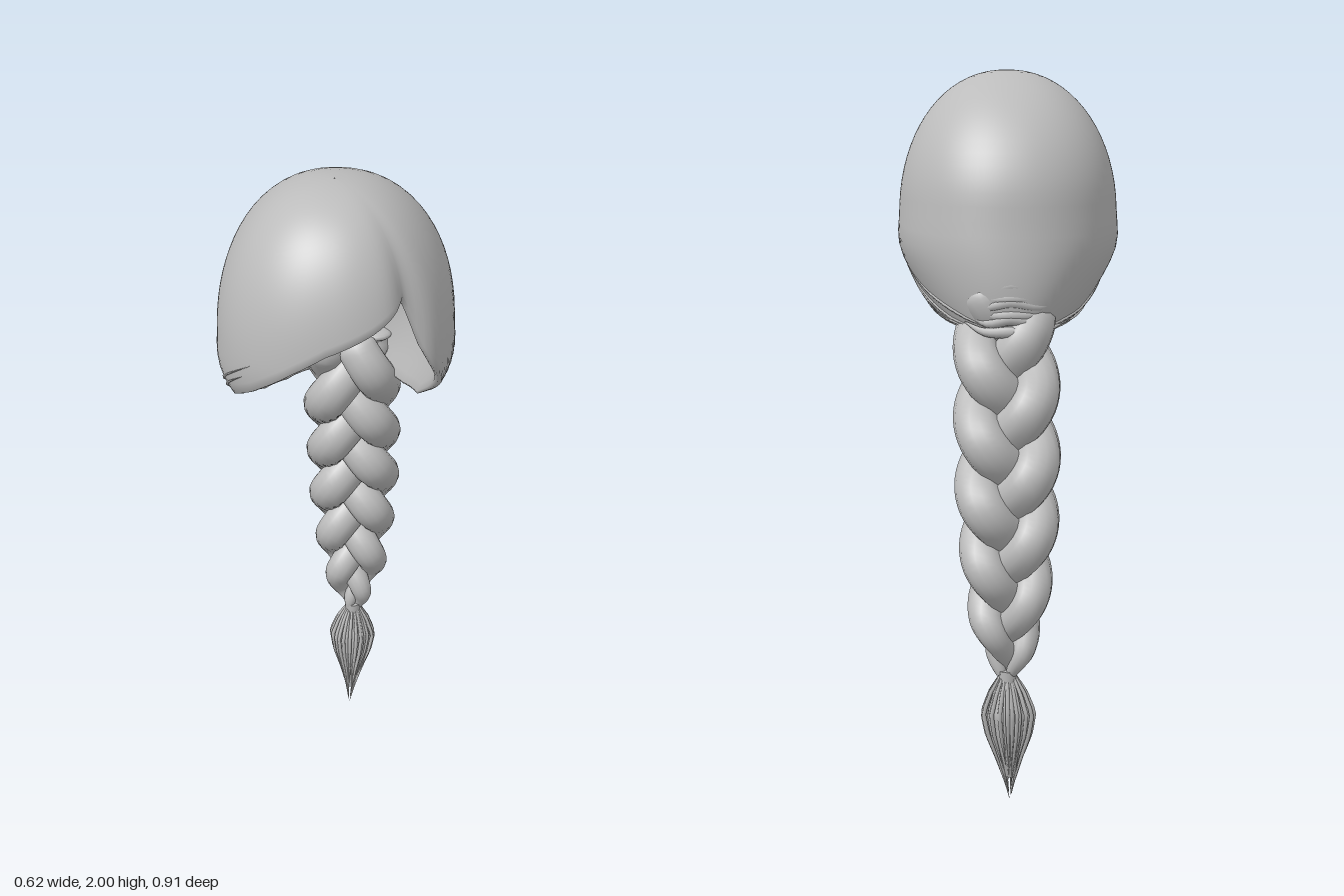
import * as THREE from 'three';

const V = (x, y, z) => new THREE.Vector3(x, y, z);

// Linear lookup in a list of [key, value] pairs
function lookup(table, k) {
  for (let i = 1; i < table.length; i++) {
    const [k0, v0] = table[i - 1], [k1, v1] = table[i];
    if (k <= k1) return v0 + (v1 - v0) * Math.max(0, (k - k0) / (k1 - k0));
  }
  return table[table.length - 1][1];
}

// Height of the hairline by azimuth in degrees (0 = front, 90 = left side)
const RIM = [[-180, 1.28], [-150, 1.285], [-120, 1.305], [-90, 1.345], [-60, 1.42], [-30, 1.53],
  [-12, 1.615], [0, 1.665], [18, 1.715], [36, 1.775], [40, 1.73], [44, 1.64], [52, 1.55], [60, 1.49],
  [75, 1.41], [90, 1.345], [120, 1.305], [150, 1.285], [180, 1.28]];

const bump = (x, w) => Math.exp(-(x / w) * (x / w));

// Point on the head of hair; f runs from the crown (0) to the hairline (1)
function capPoint(deg, f, s = 1) {
  const a = THREE.MathUtils.degToRad(deg);
  const rimC = lookup(RIM, deg) - 1.6;
  const phi = f * Math.acos(rimC > 0 ? rimC / 0.4 : rimC / 0.45);
  const c = Math.cos(phi);
  const y = c > 0 ? 1.6 + 0.4 * c * s : 1.6 + 0.45 * c;
  const drop = Math.max(0, (1.6 - y) / 0.3), rise = Math.max(0, (y - 1.6) / 0.4);
  const e = 2.15;
  const oval = Math.pow(Math.pow(Math.abs(Math.sin(a)) / 0.305, e) + Math.pow(Math.abs(Math.cos(a)) / 0.385, e), -1 / e);
  let r = s * Math.pow(Math.sin(phi), 0.93) * oval;
  r *= 1 - 0.09 * bump(deg - 39, 8) * f * f + 0.03 * bump(deg + 45, 25) * f;
  const z = 0.08 + 0.07 * rise * rise - 0.088 * Math.pow(drop, 1.5);
  const taper = 1 + 0.04 * bump(drop - 0.3, 0.25) - (deg > 0 ? 0.18 : 0.25) * drop ** 2.5;
  return V(Math.sin(a) * r * taper, y, z + Math.cos(a) * r);
}

// Surface from a grid of points, rows by columns
function gridGeometry(rows) {
  const n = rows[0].length, index = [];
  for (let i = 0; i < rows.length - 1; i++) {
    for (let j = 0; j < n; j++) {
      const k = (j + 1) % n;
      const A = i * n + j, B = (i + 1) * n + j, C = (i + 1) * n + k, D = i * n + k;
      index.push(A, B, C, A, C, D);
    }
  }
  const g = new THREE.BufferGeometry().setFromPoints(rows.flat());
  g.setIndex(index);
  g.computeVertexNormals();
  return g;
}

// Tapering tube with an elliptical section; size(t) gives its two radii
function sweep(path, size, segs, sides, ref = V(0, 0, 1)) {
  const rows = [];
  for (let i = 0; i <= segs; i++) {
    const t = i / segs, p = path(t);
    const T = path(Math.min(1, t + 0.005)).sub(path(Math.max(0, t - 0.005))).normalize();
    const u = new THREE.Vector3().crossVectors(T, ref).normalize();
    const v = new THREE.Vector3().crossVectors(T, u);
    const [ru, rv] = size(t);
    const ring = [];
    for (let j = 0; j < sides; j++) {
      const q = -j / sides * Math.PI * 2;
      ring.push(p.clone().addScaledVector(u, Math.cos(q) * ru).addScaledVector(v, Math.sin(q) * rv));
    }
    rows.push(ring);
  }
  return gridGeometry(rows);
}

export function createModel() {
  const model = new THREE.Group();
  const hair = new THREE.MeshStandardMaterial({ color: 0xbcbcbc, side: THREE.DoubleSide });
  hair.name = 'hair grey';
  const add = (name, geometry, parent = model) => {
    const m = new THREE.Mesh(geometry, hair);
    m.name = name;
    parent.add(m);
    return m;
  };
  let seed = 7;
  const rand = () => (seed = (seed * 16807) % 2147483647) / 2147483647;

  // Head of hair: outer shell, rolled hairline, inner lining
  const rows = [];
  const ring = (f, s) => {
    const r = [];
    for (let d = -180; d < 180; d += 3) r.push(capPoint(d, f, s));
    rows.push(r);
  };
  for (let i = 0; i <= 26; i++) ring(Math.max(0.001, i / 26), 1);
  ring(1.005, 0.97);
  ring(0.995, 0.93);
  for (let i = 24; i >= 0; i--) ring(Math.max(0.001, i / 25), 0.91);
  add('hairCap', gridGeometry(rows));

  // Fine strands following the hairline back to the nape
  const strands = new THREE.Group();
  strands.name = 'hairlineStrands';
  model.add(strands);
  for (let i = 0; i < 24; i++) {
    const side = i % 2 ? 1 : -1;
    const from = side > 0 ? 60 + rand() * 60 : 30 + rand() * 80;
    const to = Math.min(176, from + 30 + rand() * 50);
    const f0 = 0.86 + rand() * 0.13;
    const path = t => capPoint(side * (from + (to - from) * t), f0 + (0.99 - f0) * t, 1.003);
    add('strand', sweep(path, t => {
      const r = 0.0005 + 0.004 * Math.sin(Math.PI * t);
      return [r, r];
    }, 14, 5, V(0, 1, 0)), strands);
  }

  // Gathered hair at the nape, where both sides meet over the braid
  const nape = new THREE.Group();
  nape.name = 'napeGather';
  model.add(nape);
  for (let i = 0; i < 6; i++) {
    const y = 1.285 + i * 0.022, w = 0.13 - (i % 3) * 0.012;
    const curve = new THREE.CatmullRomCurve3([V(-w, y + 0.02, -0.25), V(-w * 0.5, y, -0.29),
      V(0.01, y + 0.012 * (i % 2), -0.302), V(w * 0.6, y, -0.288), V(w, y + 0.025, -0.25)]);
    add('napeLock', sweep(t => curve.getPoint(t), t => {
      const r = 0.002 + 0.013 * Math.sin(Math.PI * t);
      return [r, r];
    }, 16, 8, V(0, 1, 0)), nape);
  }

  // Three-strand braid
  const braid = new THREE.Group();
  braid.name = 'braid';
  model.add(braid);
  const Z = [[0.37, -0.35], [0.5, -0.36], [0.7, -0.358], [0.9, -0.338], [1.1, -0.288],
    [1.28, -0.225], [1.4, -0.2]];
  const girth = t => lookup([[0, 0.95], [0.2, 1.03], [0.55, 1], [0.7, 0.9], [0.85, 0.74], [0.94, 0.5], [1, 0.22]], t);
  for (let k = 0; k < 3; k++) {
    const path = t => {
      const y = 1.4 - 1.03 * t, e = girth(t);
      const p = Math.PI * 2 * (1.92 * Math.pow(t, 1.1) + k / 3 + 0.01);
      return V(0.02 + 0.08 * e * Math.sin(p), y, lookup(Z, y) + 0.046 * e * Math.sin(2 * p));
    };
    const size = t => {
      const e = girth(t) * (t < 0.02 ? 0.6 + t * 20 : 1);
      return [0.061 * e, 0.056 * e];
    };
    add('braidStrand', sweep(path, size, 110, 14), braid);
    // Rounded top end of the strand
    const knob = add('braidTop', new THREE.SphereGeometry(0.042, 14, 10), braid);
    knob.position.copy(path(0));
    knob.scale.set(1.2, 0.4, 1);
  }

  // Band closing the braid
  const band = add('braidBand', new THREE.CylinderGeometry(0.026, 0.024, 0.03, 16));
  band.position.set(0.02, 0.365, -0.35);

  // Tuft: a solid core with loose strands around it
  const tuft = new THREE.Group();
  tuft.name = 'tuft';
  model.add(tuft);
  const spread = [[0, 0.02], [0.12, 0.045], [0.28, 0.066], [0.45, 0.056], [0.65, 0.032], [0.85, 0.012], [1, 0.001]];
  const axis = t => V(0.02 - 0.008 * t, 0.365 - 0.365 * t, -0.35 + 0.045 * t * t);
  add('tuftCore', sweep(t => axis(t * 0.8), t => {
    const r = lookup(spread, t * 0.8) * 0.85;
    return [r, r * 0.75];
  }, 24, 14), tuft);
  for (let i = 0; i < 30; i++) {
    const q = i * 2.4, len = i === 0 ? 1 : 0.65 + rand() * 0.33, out = 0.85 + rand() * 0.25;
    const path = t => {
      const r = lookup(spread, t * len) * out;
      return axis(t * len).add(V(Math.cos(q) * r, 0, Math.sin(q) * r * 0.75));
    };
    add('tuftStrand', sweep(path, t => {
      const r = 0.0005 + 0.006 * Math.sin(Math.PI * Math.min(1, 0.2 + t * 0.8));
      return [r, r];
    }, 16, 5), tuft);
  }
  return model;
}
